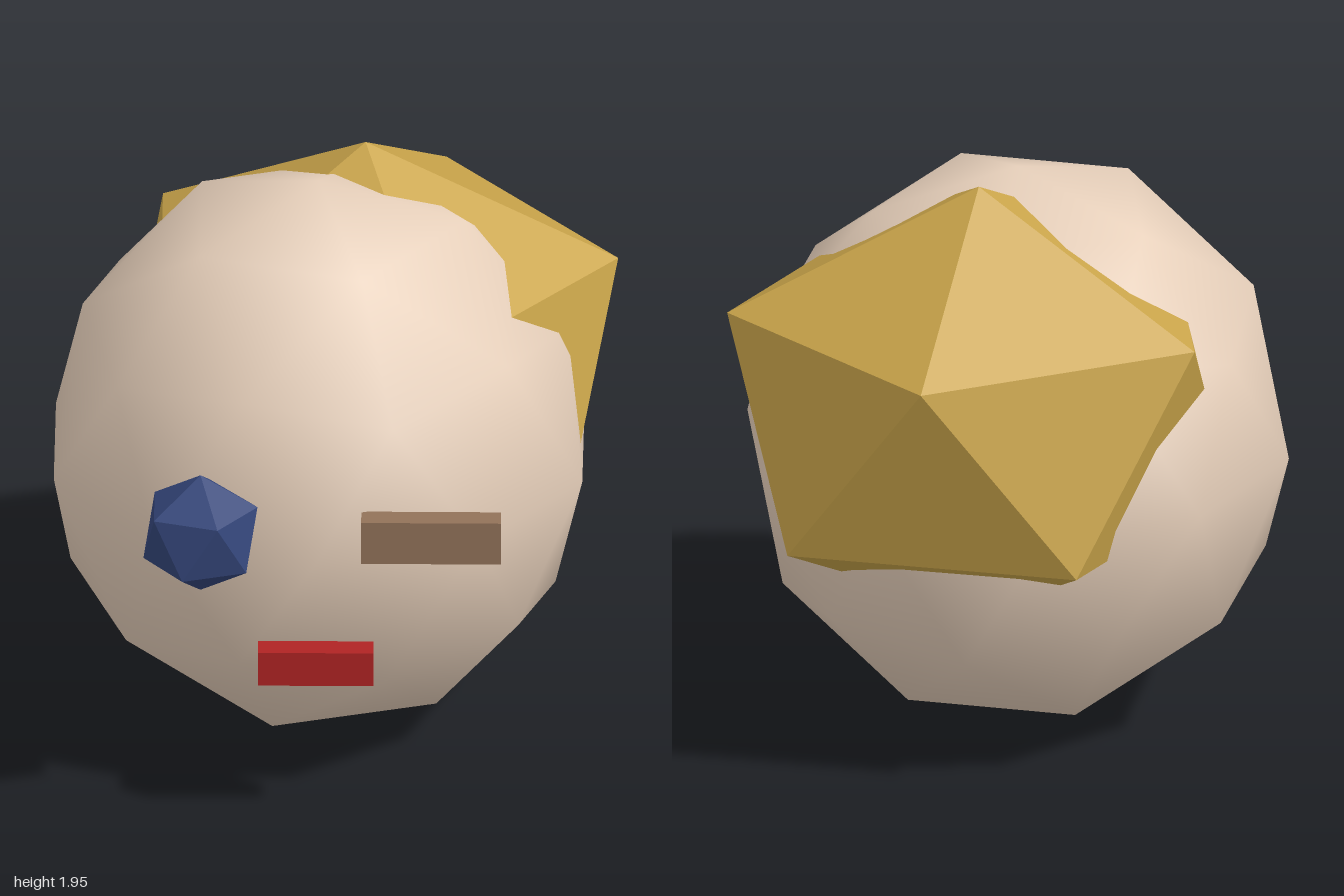
import * as THREE from 'three';

const mat = (name, color, flatShading = false) => {
  const m = new THREE.MeshStandardMaterial({ color, flatShading });
  m.name = name;
  return m;
};

// Icosahedron turned so one corner points straight up and an upper corner faces +x
function ico(detail, rx, ry, rz) {
  const g = new THREE.IcosahedronGeometry(1, detail);
  g.rotateZ(-Math.atan(2 / (1 + Math.sqrt(5))));
  g.scale(rx, ry, rz);
  return g;
}

export function createModel() {
  const model = new THREE.Group();
  model.name = 'head';

  const skin = mat('skin', 0xe6cfba);
  const blond = mat('blond', 0xc9a44a, true);
  const navy = mat('navy', 0x34467a, true);
  const brown = mat('brown', 0x927259, true);
  const red = mat('red', 0xb02424, true);

  const add = (name, geometry, material, x, y, z) => {
    const mesh = new THREE.Mesh(geometry, material);
    mesh.name = name;
    mesh.position.set(x, y, z);
    model.add(mesh);
  };

  // Smooth faceted skull
  add('skull', ico(1, 0.915, 0.96, 0.915), skin, -0.06, 0.96, -0.02);

  // Chunky hair mass sunk into the back and left of the skull
  add('hair', ico(0, 0.93, 0.76, 0.88), blond, 0.09, 1.19, -0.25);

  // Face: round right eye, closed left eye, mouth
  add('rightEye', ico(0, 0.21, 0.21, 0.21), navy, -0.44, 1.04, 0.82);
  add('leftEye', new THREE.BoxGeometry(0.46, 0.15, 0.085), brown, 0.32, 1.045, 0.862);
  add('mouth', new THREE.BoxGeometry(0.38, 0.12, 0.09), red, -0.06, 0.58, 0.857);

  return model;
}
